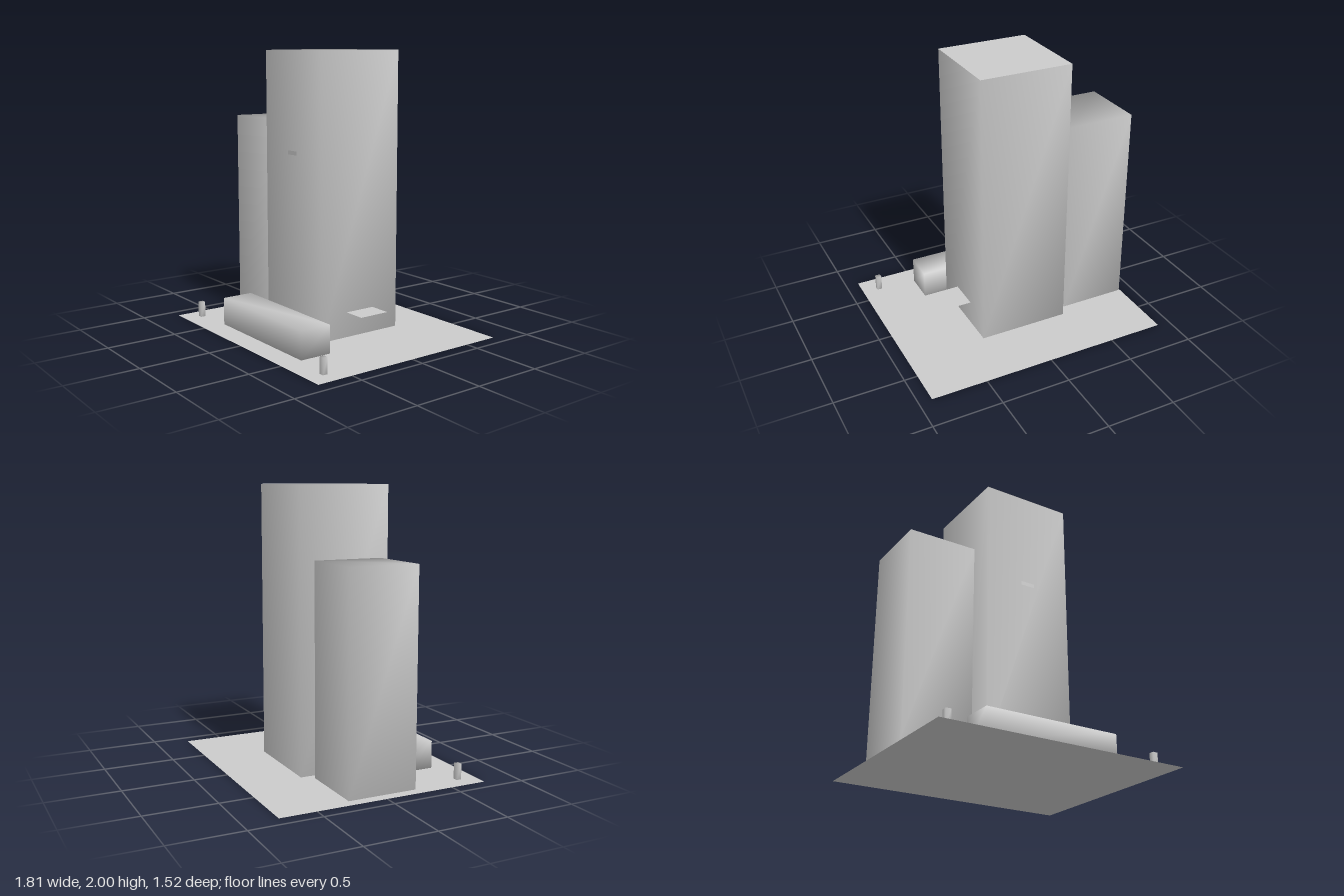
import * as THREE from 'three';
import { mergeVertices } from 'three/addons/utils/BufferGeometryUtils.js';

const concrete = new THREE.MeshStandardMaterial({ color: 0xcccccc, side: THREE.DoubleSide });
concrete.name = 'concrete grey';

export function createModel() {
  const group = new THREE.Group();
  group.name = 'towerBlocks';

  function add(name, geometry) {
    const mesh = new THREE.Mesh(geometry, concrete);
    mesh.name = name;
    group.add(mesh);
    return mesh;
  }

  // Box from extents, with corner normals shared between its sides
  function smoothBox(name, [x0, x1], [y0, y1], [z0, z1]) {
    let geometry = new THREE.BoxGeometry(x1 - x0, y1 - y0, z1 - z0);
    geometry.deleteAttribute('normal');
    geometry.deleteAttribute('uv');
    geometry = mergeVertices(geometry);
    geometry.computeVertexNormals();
    geometry.translate((x0 + x1) / 2, (y0 + y1) / 2, (z0 + z1) / 2);
    return add(name, geometry);
  }

  // Flat horizontal sheet
  function sheet(name, [x0, x1], y, [z0, z1]) {
    const geometry = new THREE.PlaneGeometry(x1 - x0, z1 - z0).rotateX(-Math.PI / 2);
    geometry.translate((x0 + x1) / 2, y, (z0 + z1) / 2);
    return add(name, geometry);
  }

  // Upright sheet facing the front
  function sign(name, [x0, x1], [y0, y1], z) {
    const geometry = new THREE.PlaneGeometry(x1 - x0, y1 - y0);
    geometry.translate((x0 + x1) / 2, (y0 + y1) / 2, z);
    return add(name, geometry);
  }

  // Site
  sheet('ground', [-0.905, 0.905], 0, [-0.76, 0.76]);

  // Towers, with a flat roof on the taller one
  smoothBox('mainTower', [-0.33, 0.33], [0.02, 1.998], [-0.348, 0.315]);
  sheet('mainRoof', [-0.33, 0.33], 2, [-0.348, 0.315]);
  smoothBox('sideTower', [-0.88, -0.385], [0.02, 1.505], [-0.268, 0.228]);

  // Low front building and the canopy passing through the main tower
  smoothBox('frontBuilding', [-0.497, 0.492], [0.001, 0.2], [0.365, 0.597]);
  sheet('canopy', [-0.497, 0.492], 0.198, [-0.132, 0.098]);
  sheet('canopyFloor', [-0.497, 0.492], 0.003, [-0.132, 0.098]);

  // Plates on the tower front
  sign('towerPlate', [-0.055, 0.05], [1.28, 1.308], 0.319);
  sign('entrancePlate', [-0.32, -0.2], [0.03, 0.065], 0.319);

  // Gate posts
  for (const [name, x] of [['rightPost', -0.78], ['leftPost', 0.776]]) {
    smoothBox(name, [x - 0.019, x + 0.019], [0.001, 0.113], [0.608, 0.644]);
  }

  return group;
}
